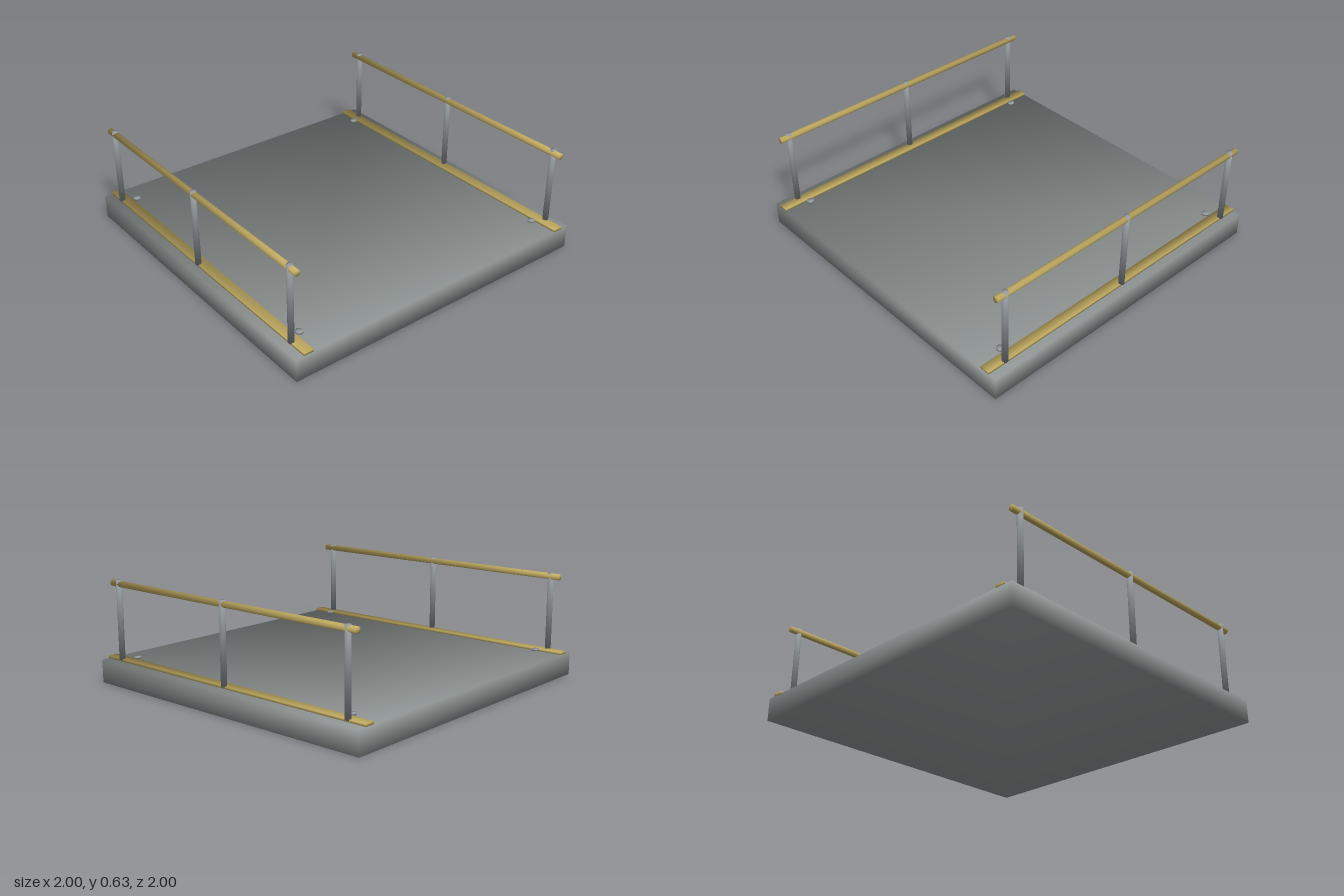
import * as THREE from 'three';

function material(name, color) {
  const m = new THREE.MeshStandardMaterial({ color });
  m.name = name;
  return m;
}

// Average the normals of all vertices sharing a position, for soft shading across edges
function soften(geometry) {
  const { position, normal } = geometry.attributes;
  const sums = new Map();
  const keyOf = (i) =>
    [position.getX(i), position.getY(i), position.getZ(i)].map((v) => Math.round(v * 1e4)).join();
  for (let i = 0; i < position.count; i++) {
    const key = keyOf(i);
    if (!sums.has(key)) sums.set(key, new THREE.Vector3());
    sums.get(key).add(new THREE.Vector3().fromBufferAttribute(normal, i));
  }
  for (let i = 0; i < position.count; i++) {
    const n = sums.get(keyOf(i)).clone().normalize();
    normal.setXYZ(i, n.x, n.y, n.z);
  }
  return geometry;
}

export function createModel() {
  const model = new THREE.Group();
  model.name = 'railedPlatform';
  const stone = material('slabGrey', 0x929897);
  const steel = material('steelGrey', 0x949a9e);
  const brass = material('brass', 0xc4ad62);

  function add(parent, name, geometry, mat, x, y, z) {
    const mesh = new THREE.Mesh(geometry, mat);
    mesh.name = name;
    mesh.position.set(x, y, z);
    parent.add(mesh);
  }

  // Deck slab
  add(model, 'deckSlab', soften(new THREE.BoxGeometry(2, 0.14, 2)), stone, 0, 0.07, 0);

  const stripGeo = soften(new THREE.BoxGeometry(0.06, 0.015, 2));
  const railGeo = soften(new THREE.CylinderGeometry(0.019, 0.019, 1.88, 12).rotateX(Math.PI / 2));
  const postGeo = soften(new THREE.CylinderGeometry(0.0175, 0.0175, 0.477, 12));
  const boltGeo = soften(new THREE.CylinderGeometry(0.022, 0.022, 0.011, 12));

  for (const side of [-1, 1]) {
    const railing = new THREE.Group();
    railing.name = side > 0 ? 'leftRailing' : 'rightRailing';
    model.add(railing);

    // Floor strip and handrail
    add(railing, 'floorStrip', stripGeo, brass, side * 0.92, 0.1485, 0);
    add(railing, 'handrail', railGeo, brass, side * 0.94, 0.605, 0);

    // Posts run through the handrail, leaving small caps on top
    for (const z of [-0.88, 0, 0.88]) {
      add(railing, 'post', postGeo, steel, side * 0.942, 0.3885, z);
    }
    // Corner bolts
    for (const z of [-0.84, 0.84]) {
      add(railing, 'cornerBolt', boltGeo, steel, side * 0.862, 0.1555, z);
    }
  }
  return model;
}
